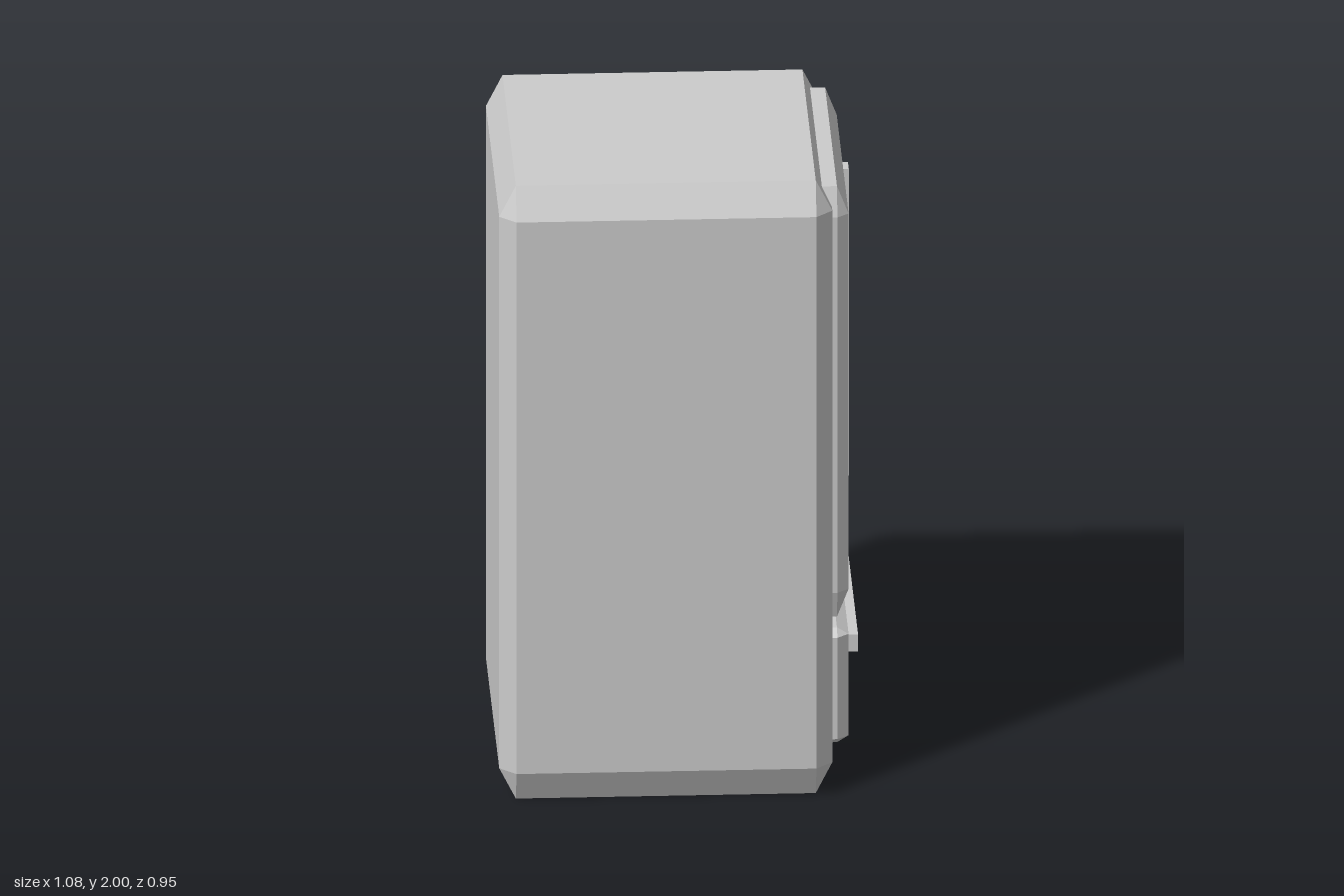
import * as THREE from 'three';
import { ConvexGeometry } from 'three/addons/geometries/ConvexGeometry.js';

const material = new THREE.MeshStandardMaterial({ color: 0xcccccc, flatShading: true });

function addPart(group, name, geometry, min, max) {
  const mesh = new THREE.Mesh(geometry, material);
  mesh.name = name;
  mesh.position.set(...min.map((v, i) => (v + max[i]) / 2));
  group.add(mesh);
}

// Box with every edge chamfered; cut gives the chamfer depth along x, y and z.
function chamferedBox(min, max, cut) {
  const half = min.map((v, i) => (max[i] - v) / 2);
  const points = [];
  for (const sx of [-1, 1]) for (const sy of [-1, 1]) for (const sz of [-1, 1]) {
    const sign = [sx, sy, sz];
    // Each corner gives one point on each of its three faces
    for (let face = 0; face < 3; face++) {
      points.push(new THREE.Vector3(
        ...half.map((h, i) => sign[i] * (i === face ? h : h - cut[i]))));
    }
  }
  return new ConvexGeometry(points);
}

export function createModel() {
  const group = new THREE.Group();
  group.name = 'refrigerator';

  // Cabinet and the two front panels
  const panels = [
    ['cabinet', [-0.543, 0, -0.474], [0.459, 2, 0.474], [0.05, 0.1, 0.0475]],
    ['door', [0.395, 0.555, -0.409], [0.51, 1.96, 0.409], [0.035, 0.09, 0.029]],
    ['freezerDrawer', [0.395, 0.145, -0.409], [0.51, 0.52, 0.409], [0.035, 0.022, 0.029]],
  ];
  for (const [name, min, max, cut] of panels) {
    addPart(group, name, chamferedBox(min, max, cut), min, max);
  }

  // Straight bar handles, sunk slightly into the panels
  const handles = [
    ['doorHandle', [0.49, 0.74, -0.321], [0.541, 1.74, -0.266]],
    ['drawerHandle', [0.49, 0.418, -0.328], [0.541, 0.473, 0.328]],
  ];
  for (const [name, min, max] of handles) {
    addPart(group, name, new THREE.BoxGeometry(...min.map((v, i) => max[i] - v)), min, max);
  }

  return group;
}
